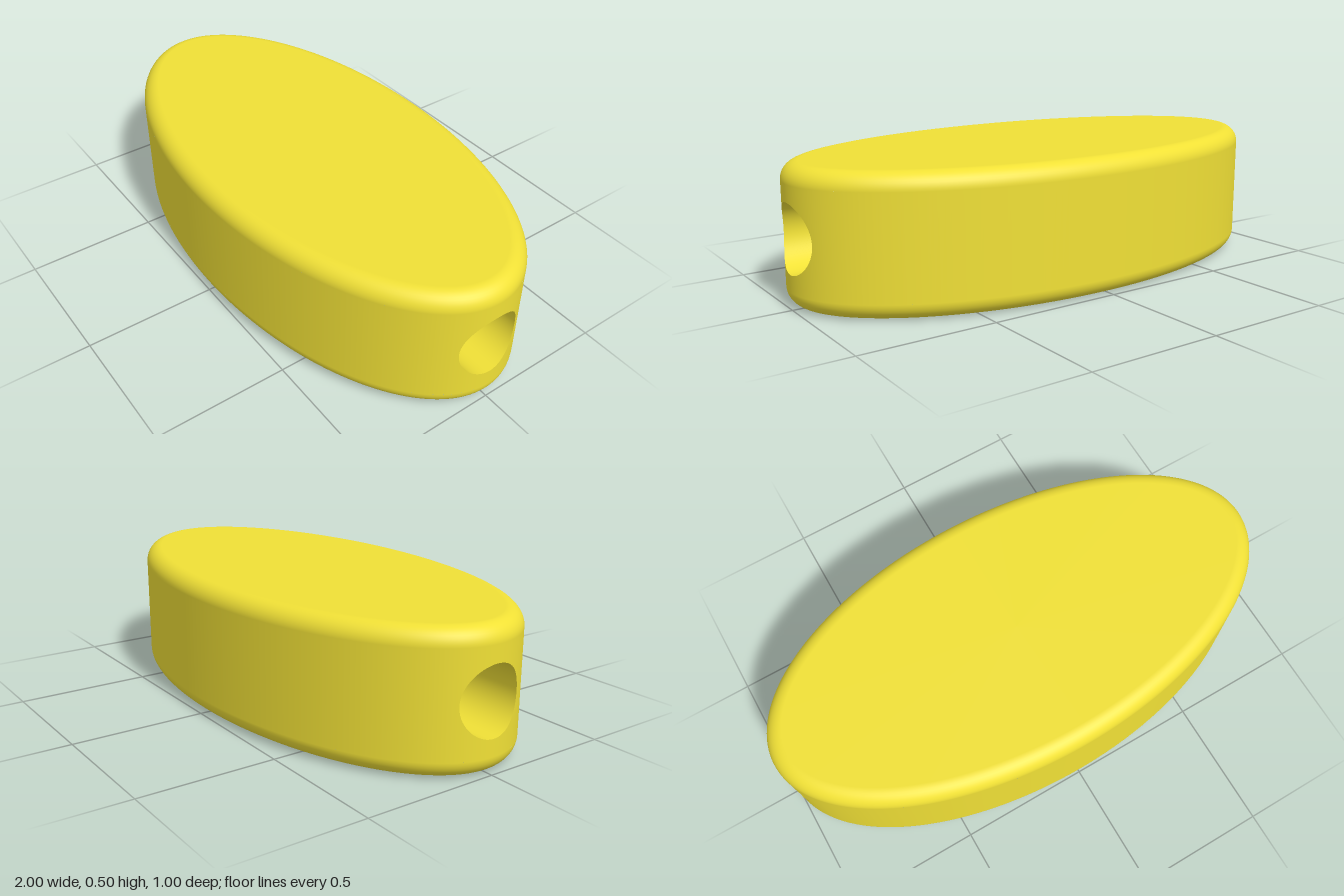
import * as THREE from 'three';

const A = 1, B = 0.5, H = 0.5;      // ellipse half-axes and height
const FILLET = 0.0625, BORE = 0.125, PATCH = 0.1875;
const MID = H / 2;

// Smooth grid surface; fn(u, v) gives [point, normal], faces turn toward the normal
function gridSurface(nu, nv, fn) {
  const pos = [], nor = [], idx = [], P = [], N = [];
  for (let j = 0; j <= nv; j++) {
    for (let i = 0; i <= nu; i++) {
      const [p, n] = fn(i / nu, j / nv);
      n.normalize();
      P.push(p); N.push(n);
      pos.push(p.x, p.y, p.z);
      nor.push(n.x, n.y, n.z);
    }
  }
  const face = (a, b, c) => {
    const f = P[b].clone().sub(P[a]).cross(P[c].clone().sub(P[a]));
    if (f.lengthSq() < 1e-16) return;
    const n = N[a].clone().add(N[b]).add(N[c]);
    if (f.dot(n) > 0) idx.push(a, b, c); else idx.push(a, c, b);
  };
  for (let j = 0; j < nv; j++) {
    for (let i = 0; i < nu; i++) {
      const a = j * (nu + 1) + i, b = a + 1, c = a + nu + 1, d = c + 1;
      face(a, b, d);
      face(a, d, c);
    }
  }
  const g = new THREE.BufferGeometry();
  g.setAttribute('position', new THREE.Float32BufferAttribute(pos, 3));
  g.setAttribute('normal', new THREE.Float32BufferAttribute(nor, 3));
  g.setIndex(idx);
  return g;
}

const V = (x, y, z) => new THREE.Vector3(x, y, z);
const ellipse = (t, y) => V(A * Math.cos(t), y, B * Math.sin(t));
const outward = (t) => V(Math.cos(t) / A, 0, Math.sin(t) / B).normalize();
const wallX = (z) => A * Math.sqrt(1 - (z / B) ** 2);

export function createModel() {
  const group = new THREE.Group();
  group.name = 'bead';
  const material = new THREE.MeshStandardMaterial({ color: 0xf0e036 });
  const add = (name, geometry) => {
    const mesh = new THREE.Mesh(geometry, material);
    mesh.name = name;
    group.add(mesh);
  };

  // Rounded rim and flat face, top and bottom
  const rimPoint = (t, a, s) => ellipse(t, MID + s * (MID - FILLET + FILLET * Math.sin(a)))
    .addScaledVector(outward(t), FILLET * (Math.cos(a) - 1));
  for (const [side, s] of [['top', 1], ['bottom', -1]]) {
    add(side + 'Rim', gridSurface(256, 10, (u, v) => {
      const t = u * Math.PI * 2, a = v * Math.PI / 2;
      const n = outward(t).multiplyScalar(Math.cos(a));
      n.y = s * Math.sin(a);
      return [rimPoint(t, a, s), n];
    }));
    add(side + 'Face', gridSurface(256, 1, (u, v) => [
      rimPoint(u * Math.PI * 2, Math.PI / 2, s).lerp(V(0, MID + s * MID, 0), v),
      V(0, s, 0),
    ]));
  }

  // Long side walls
  const t0 = Math.asin(PATCH / B);
  for (const [side, s] of [['front', 1], ['back', -1]]) {
    add(side + 'Wall', gridSurface(96, 1, (u, v) => {
      const t = s * (t0 + u * (Math.PI - 2 * t0));
      return [ellipse(t, FILLET + v * (H - 2 * FILLET)), outward(t)];
    }));
  }

  // End walls, each a square patch pierced by the round bore
  for (const [side, s] of [['left', 1], ['right', -1]]) {
    add(side + 'EndWall', gridSurface(96, 8, (u, v) => {
      const c = Math.cos(u * Math.PI * 2), d = Math.sin(u * Math.PI * 2);
      const r = THREE.MathUtils.lerp(BORE, PATCH / Math.max(Math.abs(c), Math.abs(d)), v);
      const z = r * c, x = s * wallX(z);
      return [V(x, MID + r * d, z), V(x / (A * A), 0, z / (B * B))];
    }));
  }

  // Bore running lengthwise through the bead
  add('bore', gridSurface(96, 1, (u, v) => {
    const c = Math.cos(u * Math.PI * 2), d = Math.sin(u * Math.PI * 2);
    const z = BORE * c;
    return [V((2 * v - 1) * wallX(z), MID + BORE * d, z), V(0, -d, -c)];
  }));

  return group;
}
